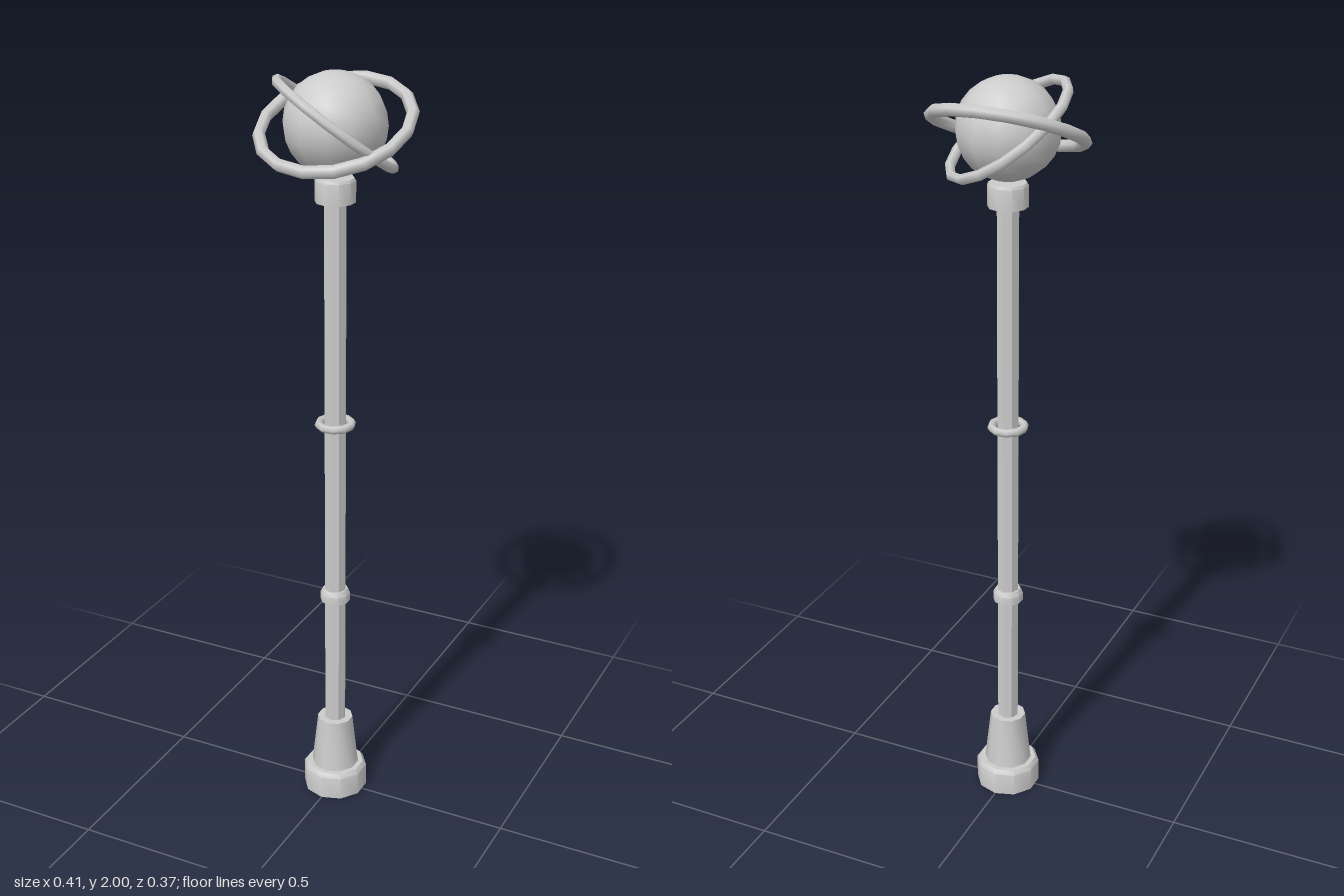
import * as THREE from 'three';
import { toCreasedNormals } from 'three/addons/utils/BufferGeometryUtils.js';

export function createModel() {
  const group = new THREE.Group();
  const paleGrey = new THREE.MeshStandardMaterial({ color: 0xcccccc });
  paleGrey.name = 'paleGrey';

  const add = (name, geometry) => {
    const mesh = new THREE.Mesh(geometry, paleGrey);
    mesh.name = name;
    group.add(mesh);
    return mesh;
  };

  // Turned part from [radius, height] pairs, listed bottom to top
  const turned = (name, profile, sides) => {
    const points = profile.map(([r, y]) => new THREE.Vector2(r, y));
    return add(name, toCreasedNormals(new THREE.LatheGeometry(points, sides), 0.7));
  };

  // Horizontal ring
  const ring = (name, radius, tube, y, tubeSides, sides) => {
    const geometry = new THREE.TorusGeometry(radius, tube, tubeSides, sides);
    geometry.rotateX(Math.PI / 2);
    const mesh = add(name, geometry);
    mesh.position.y = y;
    return mesh;
  };

  // Foot and post
  turned('base', [[0, 0], [0.087, 0], [0.087, 0.064], [0.078, 0.075], [0, 0.075]], 10);
  turned('pedestal', [[0, 0.075], [0.064, 0.075], [0.048, 0.22], [0, 0.22]], 10);
  turned('post', [[0, 0.2], [0.029, 0.2], [0.029, 1.7], [0, 1.7]], 8);

  // Bands on the post
  turned('lowerBand', [[0.028, 0.585], [0.04, 0.588], [0.04, 0.61], [0.033, 0.622], [0.026, 0.622]], 10);
  ring('upperBand', 0.043, 0.011, 1.1, 6, 10);

  // Socket under the globe
  turned('socket', [[0, 1.685], [0.051, 1.685], [0.051, 1.738], [0.047, 1.745], [0, 1.745]], 10);

  // Globe
  const globe = add('globe', new THREE.SphereGeometry(0.129, 12, 12));
  globe.scale.y = 0.97;
  globe.rotation.y = Math.PI / 12;
  globe.position.y = 1.875;

  // Two tilted orbit rings
  const outer = ring('outerOrbitRing', 0.187, 0.016, 1.875, 6, 16);
  outer.rotation.x = THREE.MathUtils.degToRad(25);
  const inner = ring('innerOrbitRing', 0.174, 0.013, 1.874, 6, 16);
  inner.rotation.set(THREE.MathUtils.degToRad(-24), 0, THREE.MathUtils.degToRad(-29));

  return group;
}
